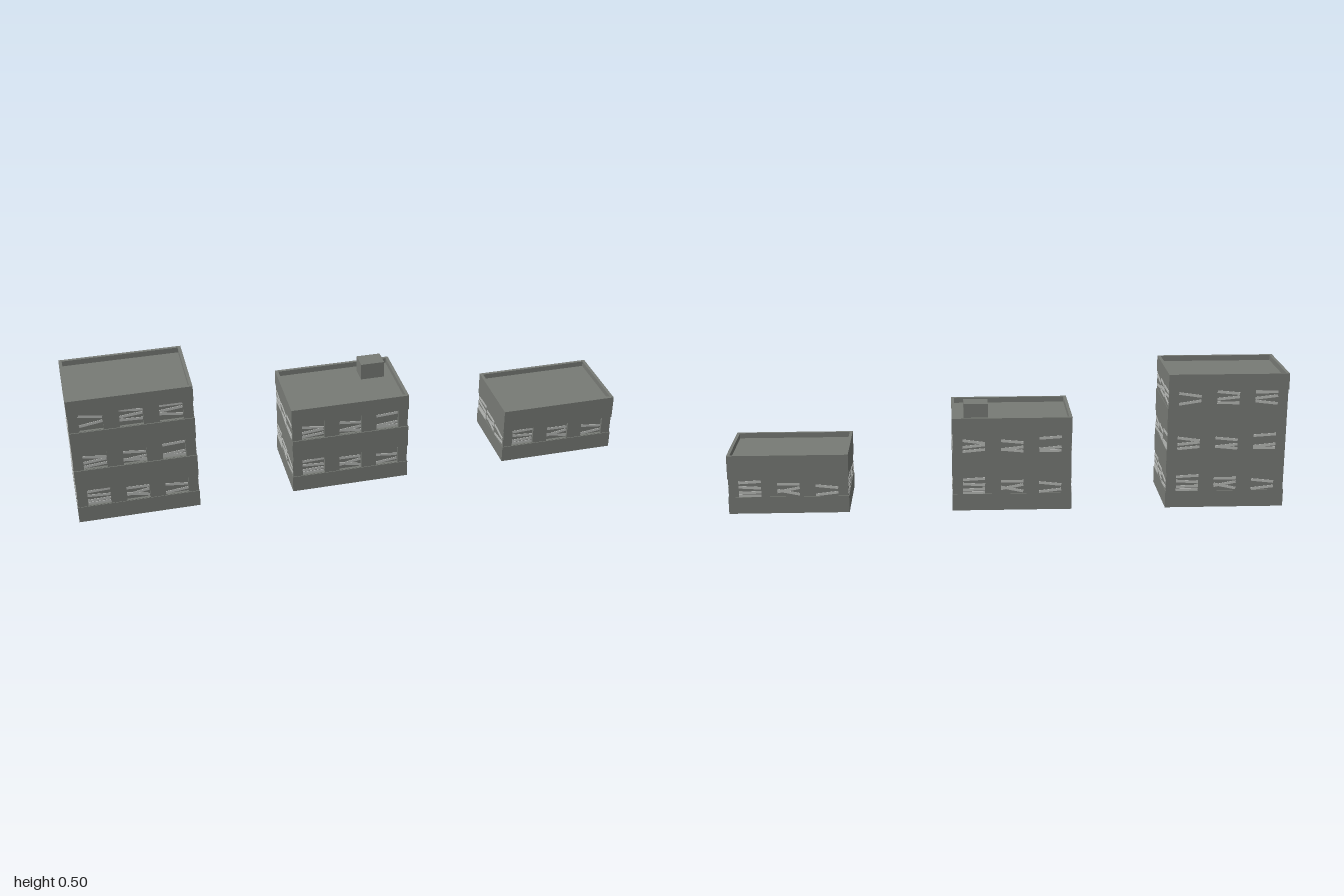
import * as THREE from 'three';

const concrete = new THREE.MeshStandardMaterial({ color: 0x777a75 });
concrete.name = 'concrete grey';
const plank = new THREE.MeshStandardMaterial({ color: 0xb8bab7 });
plank.name = 'weathered plank';

const W = 0.43, D = 0.288;               // outer footprint
const CORE_X = 0.213, BACK = -0.1415, FRONT = 0.1415;
const POCKET = 0.132;                    // depth plane of the front windows
const BASE = 0.062;
const FLOORS = [[0.062, 0.131], [0.215, 0.287], [0.37, 0.439]];

// Crooked boards: [left height, right height] per window, per floor
const BOARDS = [
  [[[0.116, 0.12], [0.1, 0.095], [0.078, 0.08], [0.067, 0.067]],
    [[0.109, 0.108], [0.08, 0.095], [0.087, 0.07]],
    [[0.102, 0.093], [0.067, 0.076]]],
  [[[0.263, 0.252], [0.238, 0.246], [0.222, 0.229]],
    [[0.261, 0.253], [0.228, 0.237], [0.229, 0.221]],
    [[0.268, 0.273], [0.228, 0.236], [0.222, 0.222]]],
  [[[0.428, 0.416], [0.388, 0.4]],
    [[0.433, 0.425], [0.405, 0.413], [0.393, 0.39]],
    [[0.43, 0.43], [0.407, 0.416], [0.397, 0.387]]],
];

function box(name, x0, x1, y0, y1, z0, z1) {
  const mesh = new THREE.Mesh(new THREE.BoxGeometry(x1 - x0, y1 - y0, z1 - z0), concrete);
  mesh.position.set((x0 + x1) / 2, (y0 + y1) / 2, (z0 + z1) / 2);
  mesh.name = name;
  return mesh;
}

function rect(target, x0, x1, y0, y1) {
  target.moveTo(x0, y0).lineTo(x1, y0).lineTo(x1, y1).lineTo(x0, y1).closePath();
  return target;
}

// Front wall of one storey with three window openings
function windowWall([y0, y1]) {
  const shape = rect(new THREE.Shape(), -CORE_X, CORE_X, y0 - 0.002, y1 + 0.002);
  for (const i of [-1, 0, 1]) {
    const x = i * 0.137;
    shape.holes.push(rect(new THREE.Path(), x - 0.041, x + 0.041, y0 + 0.001, y1 - 0.001));
  }
  const depth = FRONT - POCKET;
  const mesh = new THREE.Mesh(new THREE.ExtrudeGeometry(shape, { depth, bevelEnabled: false }), concrete);
  mesh.position.z = POCKET;
  mesh.name = 'frontWindowWall';
  return mesh;
}

// Hollow band round the top, open above the roof
function parapet(y0, y1) {
  const shape = rect(new THREE.Shape(), -W / 2, W / 2, -D / 2, D / 2);
  const t = 0.011;
  shape.holes.push(rect(new THREE.Path(), -W / 2 + t, W / 2 - t, -D / 2 + t, D / 2 - t));
  const geo = new THREE.ExtrudeGeometry(shape, { depth: y1 - y0, bevelEnabled: false });
  geo.rotateX(-Math.PI / 2);
  const mesh = new THREE.Mesh(geo, concrete);
  mesh.position.y = y0;
  mesh.name = 'parapet';
  return mesh;
}

// Boards over the windows of one face; local z points outwards
function boardedFace(name, floors, turn, distance, spacing, width) {
  const face = new THREE.Group();
  face.name = name;
  face.rotation.y = turn;
  for (let f = 0; f < floors; f++) {
    BOARDS[f].forEach((boards, w) => boards.forEach(([a, b]) => {
      const mesh = new THREE.Mesh(new THREE.BoxGeometry(Math.hypot(width, b - a), 0.0095, 0.002), plank);
      mesh.position.set((w - 1) * spacing, (a + b) / 2, distance + 0.0008);
      mesh.rotation.z = Math.atan2(b - a, width);
      mesh.name = 'windowBoard';
      face.add(mesh);
    }));
  }
  return face;
}

function building(name, x, floors, height) {
  const g = new THREE.Group();
  g.name = name;
  g.position.x = x;
  g.add(box('foundation', -W / 2, W / 2, 0, BASE, -D / 2, D / 2));
  g.add(box('core', -CORE_X, CORE_X, BASE - 0.005, height - 0.02, BACK, POCKET));

  for (let f = 0; f < floors; f++) {
    g.add(windowWall(FLOORS[f]));
    // Ledges between storeys stand out on the front and right only
    if (f < floors - 1) {
      g.add(box('storeyBand', -CORE_X + 0.0005, W / 2, FLOORS[f][1], FLOORS[f + 1][0], BACK + 0.0005, D / 2 + 0.001));
    }
  }
  const top = FLOORS[floors - 1][1];
  g.add(parapet(top, height));
  // Closes the gap between the roof slab and the parapet
  g.add(box('roofSlab', -W / 2 + 0.005, W / 2 - 0.005, top + 0.001, height - 0.0195, -D / 2 + 0.005, D / 2 - 0.005));

  g.add(boardedFace('frontBoards', floors, 0, POCKET, 0.137, 0.08));
  g.add(boardedFace('backBoards', floors, Math.PI, -BACK, 0.137, 0.08));
  g.add(boardedFace('rightBoards', floors, Math.PI / 2, CORE_X, 0.092, 0.083));
  g.add(boardedFace('leftBoards', floors, -Math.PI / 2, CORE_X, 0.092, 0.083));
  return g;
}

export function createModel() {
  const model = new THREE.Group();
  model.name = 'abandonedBuildings';
  model.add(building('tallBuilding', -0.785, 3, 0.497));
  const middle = building('middleBuilding', -0.015, 2, 0.345);
  middle.add(box('roofHut', 0.085, 0.172, 0.32, 0.387, -0.102, -0.037));
  model.add(middle);
  model.add(building('lowBuilding', 0.785, 1, 0.217));
  return model;
}
